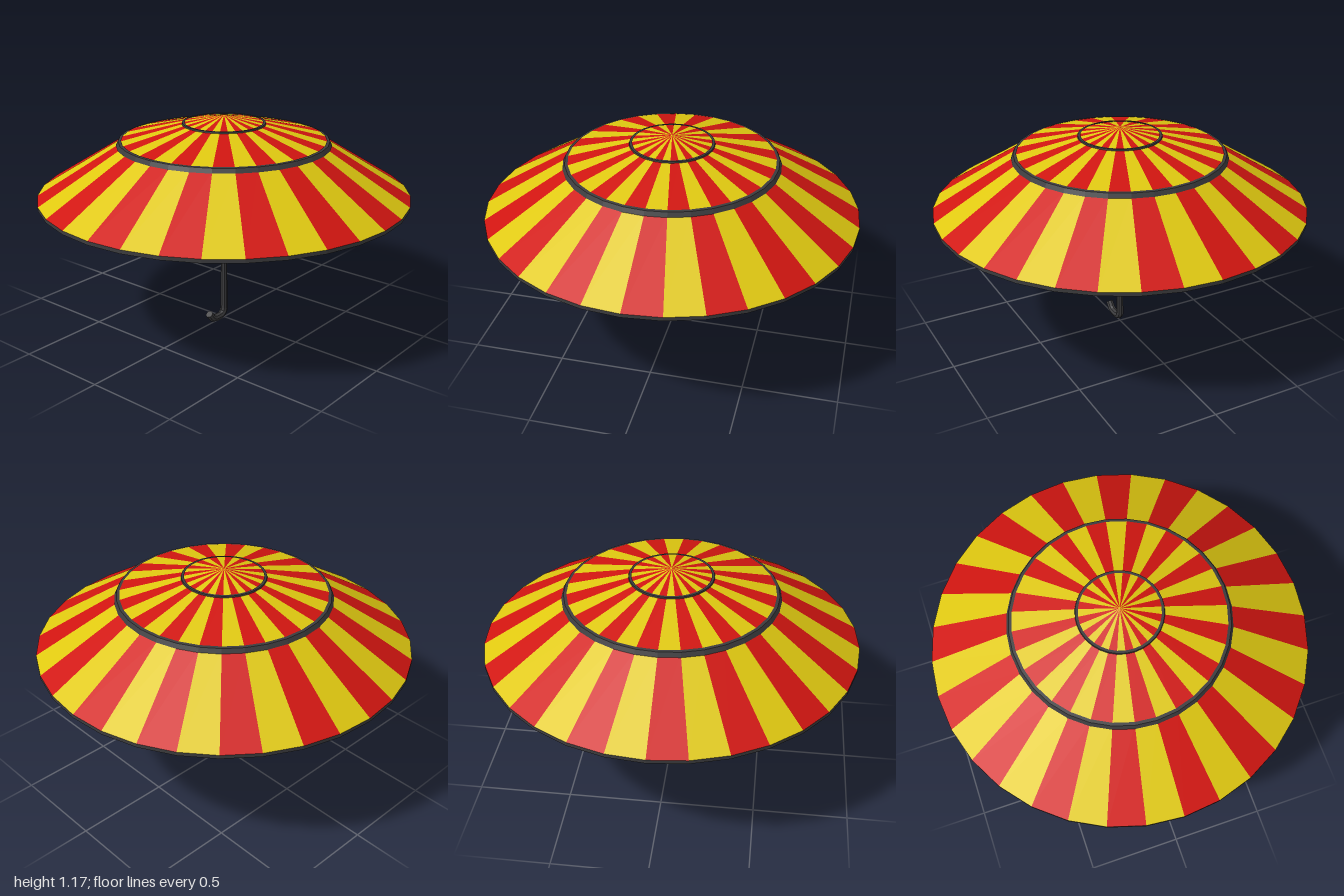
import * as THREE from 'three';

const SIDES = 32;

const paint = (color, side = THREE.FrontSide) =>
  new THREE.MeshStandardMaterial({ color, side, flatShading: true });

// Every second panel of a cone tier between an outer and an inner [radius, y] ring.
function tierPanels(outer, inner, parity) {
  const pos = [];
  const at = ([r, y], i) => {
    const a = (i / SIDES) * Math.PI * 2;
    return [r * Math.sin(a), y, r * Math.cos(a)];
  };
  for (let i = parity; i < SIDES; i += 2) {
    pos.push(...at(outer, i), ...at(outer, i + 1), ...at(inner, i + 1));
    if (inner[0] > 0) pos.push(...at(outer, i), ...at(inner, i + 1), ...at(inner, i));
  }
  const geo = new THREE.BufferGeometry();
  geo.setAttribute('position', new THREE.Float32BufferAttribute(pos, 3));
  geo.computeVertexNormals();
  return geo;
}

const lathe = (points) =>
  new THREE.LatheGeometry(points.map(([r, y]) => new THREE.Vector2(r, y)), SIDES);

export function createModel() {
  const model = new THREE.Group();
  const add = (name, geo, mat, parent = model) => {
    const mesh = new THREE.Mesh(geo, mat);
    mesh.name = name;
    parent.add(mesh);
    return mesh;
  };
  const red = paint(0xd01510);
  const yellow = paint(0xdfc810);
  const brown = paint(0x946f42);
  const dark = paint(0x3c3c3e);
  const darkBand = paint(0x3c3c3e, THREE.DoubleSide);

  // Striped canopy: the skirt's stripes are offset from those of the cap
  const canopy = new THREE.Group();
  canopy.name = 'canopy';
  model.add(canopy);
  const tiers = [
    { name: 'skirt', outer: [1, 0.755], inner: [0.555, 1.03], red: 0 },
    { name: 'cap', outer: [0.56, 1.04], inner: [0.215, 1.13], red: 1 },
    { name: 'crown', outer: [0.215, 1.13], inner: [0, 1.175], red: 1 },
  ];
  for (const t of tiers) {
    add(t.name + 'RedStripes', tierPanels(t.outer, t.inner, t.red), red, canopy);
    add(t.name + 'YellowStripes', tierPanels(t.outer, t.inner, 1 - t.red), yellow, canopy);
  }

  // Plain lining, facing down
  add('lining', lathe([[0, 1.168], [0.215, 1.122], [0.555, 1.022], [0.996, 0.748], [0.998, 0.735]]), brown);

  // Dark trim around the edge and the two tier joints
  add('rimBand', lathe([[1, 0.735], [1, 0.755]]), darkBand);
  add('middleBand', lathe([[0.556, 1.022], [0.574, 1.022], [0.562, 1.045], [0.546, 1.047]]), darkBand);
  add('crownBand', lathe([[0.224, 1.128], [0.222, 1.136], [0.208, 1.136]]), darkBand);

  // Tapered shaft
  const shaft = add('shaft', new THREE.CylinderGeometry(0.011, 0.02, 1.12, 8), dark);
  shaft.position.y = 0.605;

  // Hooked handle, an octagonal tube with a closed tip
  const path = new THREE.CurvePath();
  const bend = [[0, 0.055], [-0.005, 0.035], [-0.03, 0.021], [-0.085, 0.021], [-0.105, 0.032], [-0.129, 0.062]]
    .map(([x, y]) => new THREE.Vector3(x, y, 0));
  for (let i = 1; i < bend.length; i++) path.add(new THREE.LineCurve3(bend[i - 1], bend[i]));
  add('handle', new THREE.TubeGeometry(path, 12, 0.021, 8), dark);
  const tip = add('handleTip', new THREE.CircleGeometry(0.021, 8), darkBand);
  tip.position.copy(bend.at(-1));
  tip.lookAt(bend.at(-1).clone().multiplyScalar(2).sub(bend.at(-2)));

  return model;
}
